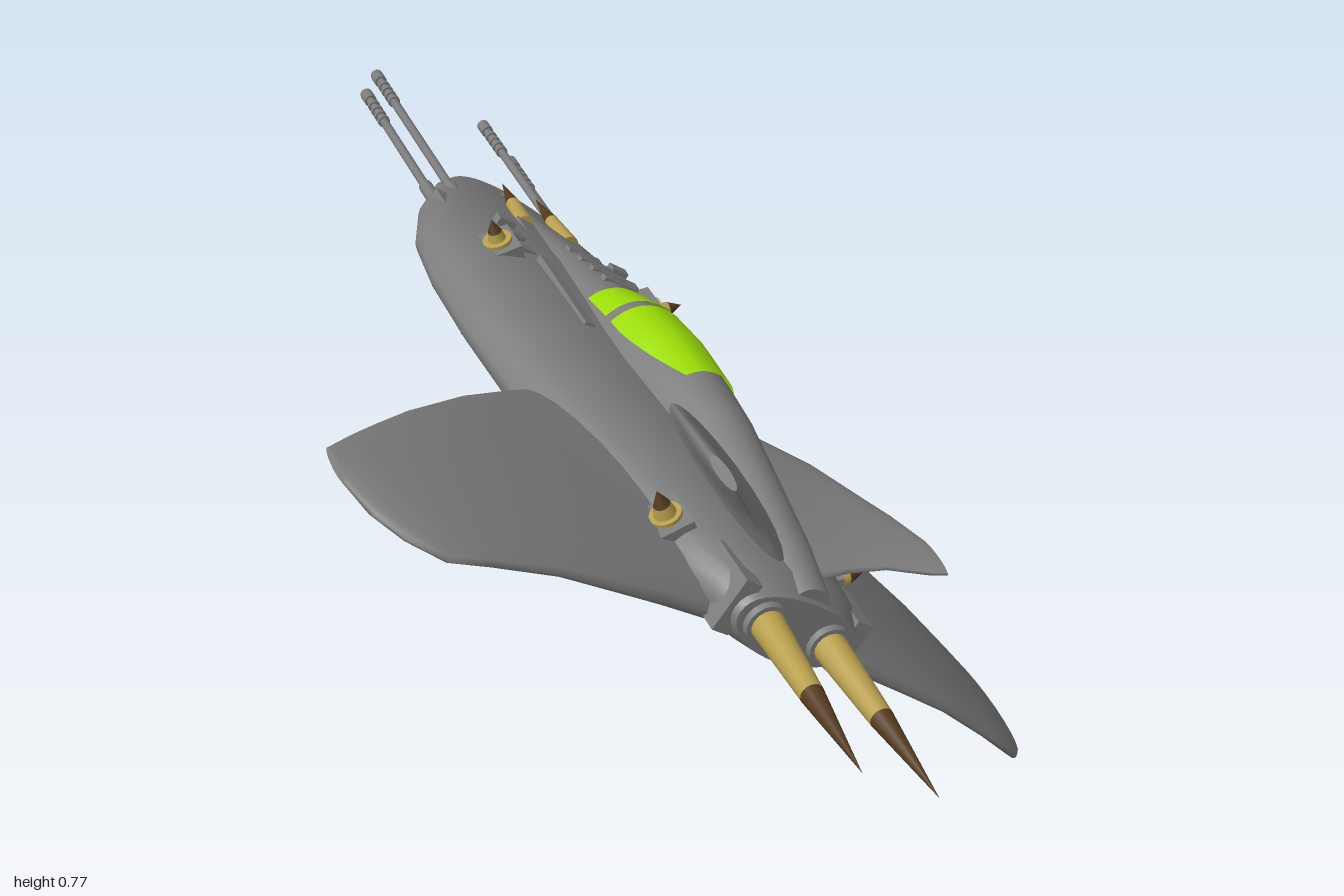
import * as THREE from 'three';

const mat = (name, color, side = THREE.FrontSide) => {
  const m = new THREE.MeshStandardMaterial({ color, side });
  m.name = name;
  return m;
};

// Closed skin through equally sized rings, with flat end caps
function loft(rings) {
  const n = rings[0].length, pos = [], idx = [];
  rings.forEach(r => r.forEach(p => pos.push(...p)));
  for (let i = 0; i < rings.length - 1; i++) for (let j = 0; j < n; j++) {
    const a = i * n + j, b = i * n + (j + 1) % n;
    idx.push(a, b, a + n, b, b + n, a + n);
  }
  [rings[0], rings[rings.length - 1]].forEach((r, end) => {
    const base = pos.length / 3;
    r.forEach(p => pos.push(...p));
    for (let j = 1; j < n - 1; j++) {
      if (end) idx.push(base, base + j, base + j + 1);
      else idx.push(base, base + j + 1, base + j);
    }
  });
  const g = new THREE.BufferGeometry();
  g.setAttribute('position', new THREE.Float32BufferAttribute(pos, 3));
  g.setIndex(idx);
  g.computeVertexNormals();
  return g;
}

// Reflected copy of a geometry across x = 0
function mirrored(geo) {
  const g = geo.clone().scale(-1, 1, 1), a = g.index.array;
  for (let i = 0; i < a.length; i += 3) [a[i], a[i + 1]] = [a[i + 1], a[i]];
  g.computeVertexNormals();
  return g;
}

// Interpolate a table of rows keyed by their first value
function sample(table, z) {
  let i = 0;
  while (i < table.length - 2 && z > table[i + 1][0]) i++;
  const a = table[i], b = table[i + 1], t = (z - a[0]) / (b[0] - a[0]);
  return a.map((v, k) => v + (b[k] - v) * t);
}

const sgnPow = (v, p) => Math.sign(v) * Math.pow(Math.abs(v), p);

export function createModel() {
  const grey = mat('hullGrey', 0x7c7c7c);
  const lime = mat('canopyLime', 0x9cdc08, THREE.DoubleSide);
  const tan = mat('hornTan', 0xb89f4e);
  const brown = mat('hornBrown', 0x543a1e);
  const ship = new THREE.Group();
  ship.name = 'fighter';

  const add = (name, geo, material = grey, parent = ship) => {
    const m = new THREE.Mesh(geo, material);
    m.name = name;
    parent.add(m);
  };
  const box = (name, w, h, d, x, y, z) => add(name, new THREE.BoxGeometry(w, h, d).translate(x, y, z));

  // Flattened hull: z, half width, top, edge and bottom heights
  const hull = [
    [-0.685, 0.04, -0.01, -0.025, -0.04], [-0.66, 0.085, 0.002, -0.028, -0.055],
    [-0.61, 0.13, 0.012, -0.03, -0.072], [-0.5, 0.195, 0.03, -0.042, -0.098],
    [-0.38, 0.24, 0.045, -0.052, -0.112], [-0.26, 0.252, 0.056, -0.056, -0.116],
    [-0.1, 0.25, 0.062, -0.056, -0.118], [0.12, 0.235, 0.065, -0.05, -0.118],
    [0.35, 0.195, 0.068, -0.035, -0.112], [0.55, 0.16, 0.068, -0.015, -0.09],
    [0.64, 0.135, 0.065, 0, -0.07], [0.69, 0.11, 0.05, 0, -0.055]];
  add('hull', loft(hull.map(([z, w, top, edge, bot]) => Array.from({ length: 36 }, (_, j) => {
    const t = j / 36 * Math.PI * 2, s = Math.sin(t), p = s > 0 ? 0.85 : 1;
    return [w * sgnPow(Math.cos(t), p), edge + sgnPow(s, p) * (s > 0 ? top - edge : edge - bot), z];
  }))));

  // Raised spine carrying the cockpit: z, half width, top height
  const spine = [[-0.6, 0.025, 0.018], [-0.45, 0.04, 0.042], [-0.3, 0.058, 0.072], [-0.12, 0.072, 0.1],
    [-0.02, 0.078, 0.128], [0.08, 0.079, 0.137], [0.2, 0.07, 0.136], [0.3, 0.06, 0.132],
    [0.42, 0.052, 0.116], [0.58, 0.045, 0.092], [0.68, 0.035, 0.07]];
  const spinePoint = (z, t, lift = 0) => {
    const [, w, top] = sample(spine, z), base = Math.min(0.03, top - 0.03);
    return [(w + lift) * sgnPow(Math.cos(t), 0.85), base + (top + lift - base) * sgnPow(Math.sin(t), 0.85), z];
  };
  add('spine', loft(spine.map(([z]) => Array.from({ length: 28 }, (_, j) => spinePoint(z, j / 28 * Math.PI * 2)))));

  // Canopy panes wrapped over the spine, the rear one narrowing aft
  for (const [name, z0, z1, taper] of [['canopyFront', -0.105, -0.03, 0], ['canopyRear', -0.01, 0.2, 0.3]]) {
    const g = new THREE.PlaneGeometry(1, 1, 20, 12), p = g.attributes.position;
    for (let i = 0; i < p.count; i++) {
      const v = 0.5 - p.getY(i), t = Math.PI * (0.5 - (0.74 - taper * v * v) * p.getX(i));
      p.setXYZ(i, ...spinePoint(z0 + (z1 - z0) * v, t, 0.004));
    }
    g.computeVertexNormals();
    add(name, g, lime);
  }

  // Lens-shaped wing and fin sections: x, y, leading z, trailing z, half thickness
  const blade = (rows, nx, ny) => loft(rows.map(([x, y, zl, zt, h]) => Array.from({ length: 24 }, (_, j) => {
    const t = j / 24 * Math.PI * 2, s = h * Math.sin(t);
    return [x + nx * s, y + ny * s, (zl + zt) / 2 - (zt - zl) / 2 * Math.cos(t)];
  })));
  const pair = (name, geo) => {
    add(name + 'Left', geo);
    add(name + 'Right', mirrored(geo));
  };
  pair('wing', blade([[0.08, -0.035, 0.05, 0.65, 0.06], [0.2, -0.04, 0.1, 0.655, 0.045],
    [0.28, -0.044, 0.145, 0.66, 0.037], [0.38, -0.052, 0.205, 0.66, 0.03], [0.49, -0.07, 0.28, 0.667, 0.024],
    [0.555, -0.085, 0.33, 0.668, 0.02], [0.6, -0.097, 0.365, 0.625, 0.017], [0.628, -0.106, 0.388, 0.57, 0.013],
    [0.648, -0.112, 0.405, 0.49, 0.006]], 0, 1));
  pair('tailFin', blade([[0.03, 0.055, 0.18, 0.62, 0.035], [0.08, 0.085, 0.25, 0.62, 0.02],
    [0.137, 0.112, 0.34, 0.62, 0.014], [0.192, 0.141, 0.49, 0.645, 0.012], [0.212, 0.152, 0.56, 0.65, 0.009]], -0.5, 0.86));

  // Pointed horn along a direction, tan below and brown at the tip
  function horn(name, at, dir, length, radius, pad) {
    const g = new THREE.Group();
    g.name = name;
    g.position.set(...at);
    g.quaternion.setFromUnitVectors(new THREE.Vector3(0, 1, 0), new THREE.Vector3(...dir).normalize());
    const mid = length * 0.52;
    add('hornBase', new THREE.CylinderGeometry(radius * 0.66, radius, mid, 16).translate(0, mid / 2, 0), tan, g);
    add('hornTip', new THREE.ConeGeometry(radius * 0.66, length - mid, 16).translate(0, (length + mid) / 2, 0), brown, g);
    if (pad) {
      add('hornPad', new THREE.BoxGeometry(0.06, 0.03, 0.075).translate(0, -0.01, 0), grey, g);
      add('hornSocket', new THREE.CylinderGeometry(0.025, 0.025, 0.01, 16).translate(0, 0.006, 0), tan, g);
    }
    ship.add(g);
  }

  for (const s of [-1, 1]) {
    const side = s > 0 ? 'Left' : 'Right';

    // Engine collars and long rear horns
    add('engineCollar' + side, new THREE.CylinderGeometry(0.033, 0.042, 0.05, 16).rotateX(Math.PI / 2).translate(s * 0.062, 0, 0.675));
    horn('rearHorn' + side, [s * 0.061, 0, 0.675], [s * 0.035, 0, 1], 0.355, 0.027);
    box('engineRib' + side, 0.03, 0.09, 0.1, s * 0.11, 0, 0.63);

    // Small horns on the hull
    horn('rearUpperHorn' + side, [s * 0.165, 0.014, 0.505], [s * 0.8, 0.6, 0], 0.056, 0.02, true);
    horn('rearLowerHorn' + side, [s * 0.14, -0.1, 0.41], [s * 0.8, -0.6, 0], 0.05, 0.02, true);
    horn('frontUpperHorn' + side, [s * 0.172, 0.036, -0.264], [s * 0.75, 0.66, 0], 0.05, 0.018, true);
    horn('frontLowerHorn' + side, [s * 0.1, -0.106, -0.26], [s * 0.8, -0.6, 0], 0.05, 0.018, true);
    horn('noseHorn' + side, [s * 0.05, 0.034, -0.42], [s * -0.08, 0.03, -1], 0.155, 0.018);
    box('noseHornMount' + side, 0.032, 0.03, 0.06, s * 0.053, 0.028, -0.395);

    // Twin gun barrels with thicker muzzles and sleeves
    for (const [x, y, tip] of [[0.127, -0.005, -1.018], [0.17, -0.022, -0.932]]) {
      const rod = (name, r, z0, z1) => add(name + side,
        new THREE.CylinderGeometry(r, r, z1 - z0, 12).rotateX(Math.PI / 2).translate(s * x, y, (z0 + z1) / 2));
      rod('gunBarrel', 0.008, tip, -0.4);
      rod('gunMuzzle', 0.0115, tip, tip + 0.03);
      for (let k = 0; k < 4; k++) rod('muzzleRing', 0.011, tip + 0.045 + k * 0.02, tip + 0.055 + k * 0.02);
      rod('gunSleeve', 0.012, -0.57, -0.4);
    }
    box('gunHousing' + side, 0.07, 0.035, 0.12, s * 0.15, -0.016, -0.45);

    // Shoulder ridges, vents and belly blocks
    box('shoulderRidge' + side, 0.02, 0.02, 0.22, s * 0.105, 0.05, -0.12);
    for (let k = 0; k < 3; k++) {
      box('shoulderVent' + side, 0.035, 0.014, 0.02, s * 0.125, 0.045, -0.36 + k * 0.05);
      box('bellyBlock' + side, 0.03, 0.02, 0.04, s * 0.14, -0.098, -0.4 + k * 0.09);
    }
  }

  // Louvres ahead of the cockpit
  for (let k = 0; k < 4; k++) box('louvre', 0.07, 0.014, 0.015, 0, 0.066 + k * 0.008, -0.29 + k * 0.045);

  // Banked flight attitude
  ship.position.set(-0.07, 0.486, 0);
  ship.rotation.set(0.011, 0.297, -0.628, 'YXZ');
  const model = new THREE.Group();
  model.name = 'bankedFighter';
  model.add(ship);
  return model;
}
